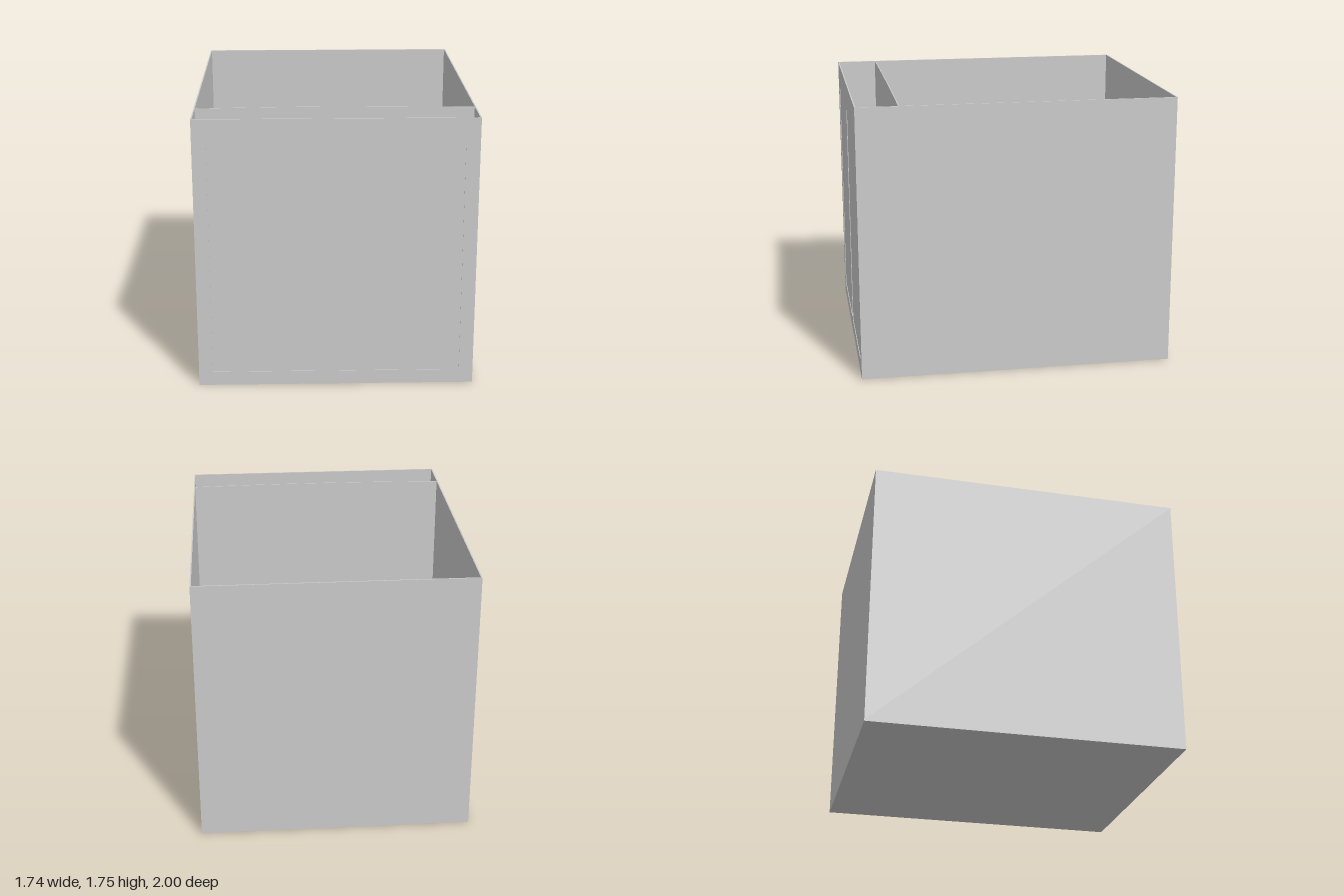
import * as THREE from 'three';

const W = 1.735, D = 2, H = 1.74, T = 0.008;

export function createModel() {
  const group = new THREE.Group();
  const material = new THREE.MeshStandardMaterial({ color: 0xcccccc, flatShading: true });
  const add = (name, geometry, x, y, z) => {
    const mesh = new THREE.Mesh(geometry, material);
    mesh.name = name;
    mesh.position.set(x, y, z);
    group.add(mesh);
  };
  const box = (name, w, h, d, x, y, z) => add(name, new THREE.BoxGeometry(w, h, d), x, y, z);

  // Open-topped shell: floor, sides and back
  box('floor', W, T, D, 0, T / 2, 0);
  for (const [name, s] of [['leftWall', 1], ['rightWall', -1]]) {
    box(name, T, H - T, D, s * (W - T) / 2, (H + T) / 2, 0);
  }
  box('backWall', W - 2 * T, H - T, T, 0, (H + T) / 2, -(D - T) / 2);

  // Front wall: a thin frame with two shallow recessed panels
  const rectangle = (Type, x0, y0, x1, y1) => {
    const path = new Type();
    path.moveTo(x0, y0);
    path.lineTo(x1, y0);
    path.lineTo(x1, y1);
    path.lineTo(x0, y1);
    path.closePath();
    return path;
  };
  const frame = rectangle(THREE.Shape, -W / 2 + T, T, W / 2 - T, H);
  frame.holes.push(rectangle(THREE.Path, -0.78, 0.09, -0.018, 1.57));
  frame.holes.push(rectangle(THREE.Path, 0.018, 0.09, 0.78, 1.57));
  add('frontFrame', new THREE.ExtrudeGeometry(frame, { depth: T / 2, bevelEnabled: false }), 0, 0, D / 2 - T / 2);
  box('frontPanel', W - 2 * T, H - T, T / 2, 0, (H + T) / 2, D / 2 - T * 0.75);

  // Inner divider with a very slightly bowed top edge
  const half = W / 2 - T;
  const board = new THREE.Shape();
  board.moveTo(-half, T);
  board.lineTo(half, T);
  board.lineTo(half, H - 0.002);
  board.quadraticCurveTo(0, H + 0.014, -half, H - 0.002);
  board.closePath();
  add('divider', new THREE.ExtrudeGeometry(board, { depth: 0.006, bevelEnabled: false }), 0, 0, 0.73);

  return group;
}
